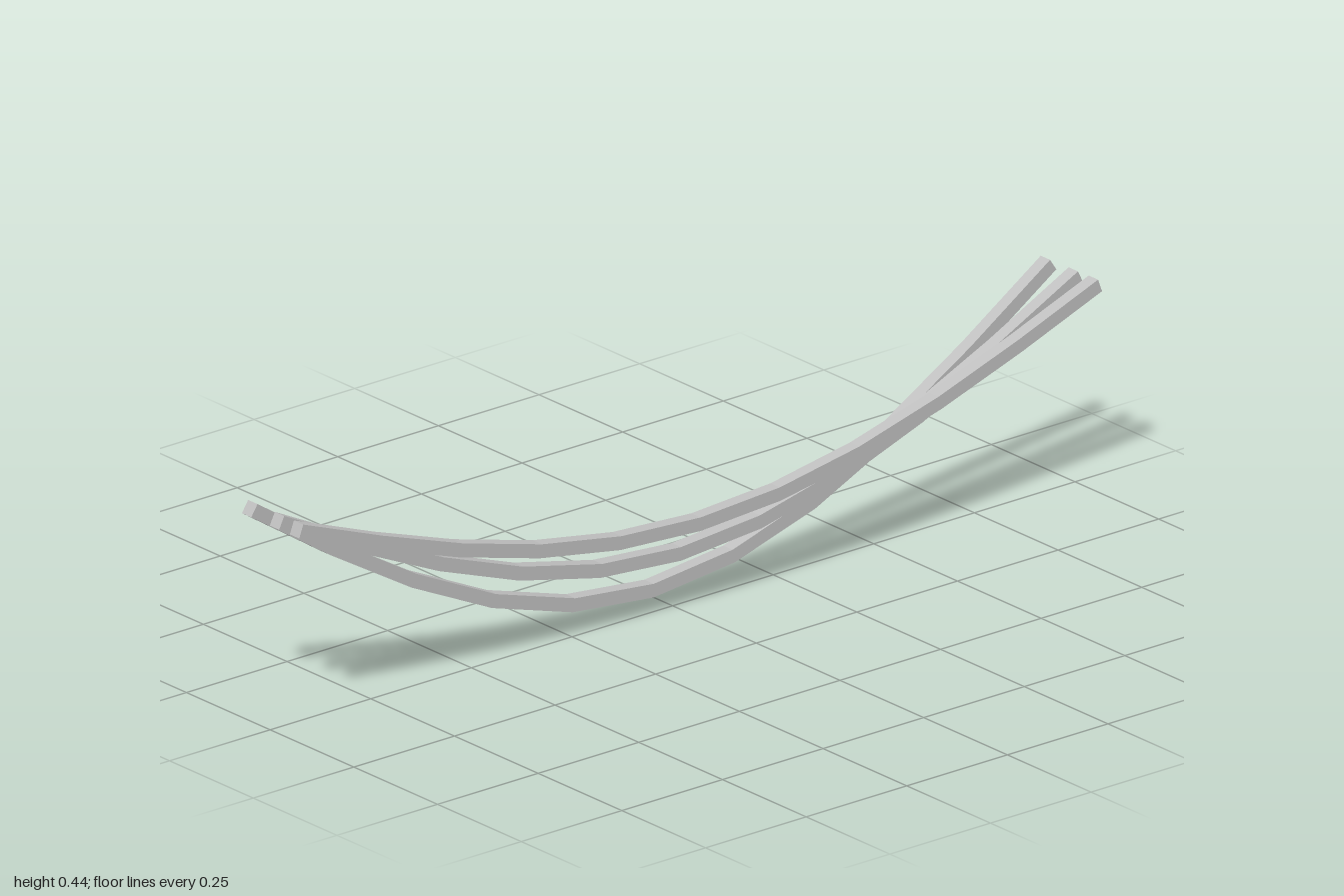
import * as THREE from 'three';

const THICKNESS = 0.028;
const HALF_SPAN = 0.9925;
const END_Y = 0.4315;
const SEGMENTS = 10;

// Outline of a hanging cable: centre line offset to both sides along its normal
function cableShape(lowY) {
  const sag = END_Y - lowY;
  const upper = [], lower = [];
  for (let i = 0; i <= SEGMENTS; i++) {
    const t = (i / SEGMENTS) * 2 - 1;
    const angle = t * Math.PI / 2;
    const x = t * HALF_SPAN;
    const y = END_Y - sag * Math.cos(angle);
    const slope = sag * Math.sin(angle) * Math.PI / 2 / HALF_SPAN;
    const normal = new THREE.Vector2(-slope, 1).normalize().multiplyScalar(THICKNESS / 2);
    upper.push(new THREE.Vector2(x + normal.x, y + normal.y));
    lower.push(new THREE.Vector2(x - normal.x, y - normal.y));
  }
  return new THREE.Shape([...lower, ...upper.reverse()]);
}

export function createModel() {
  const model = new THREE.Group();
  model.name = 'hangingCables';
  const grey = new THREE.MeshStandardMaterial({ color: 0xc0c0c0 });
  grey.name = 'cable grey';

  // Three square-section cables with different sag
  const cables = [
    { name: 'frontCable', z: 0.07, lowY: 0.1935 },
    { name: 'middleCable', z: 0.0115, lowY: 0.1145 },
    { name: 'backCable', z: -0.07, lowY: 0.014 },
  ];
  for (const { name, z, lowY } of cables) {
    const geometry = new THREE.ExtrudeGeometry(cableShape(lowY), { depth: THICKNESS, bevelEnabled: false });
    geometry.translate(0, 0, z - THICKNESS / 2);
    const cable = new THREE.Mesh(geometry, grey);
    cable.name = name;
    model.add(cable);
  }
  return model;
}
